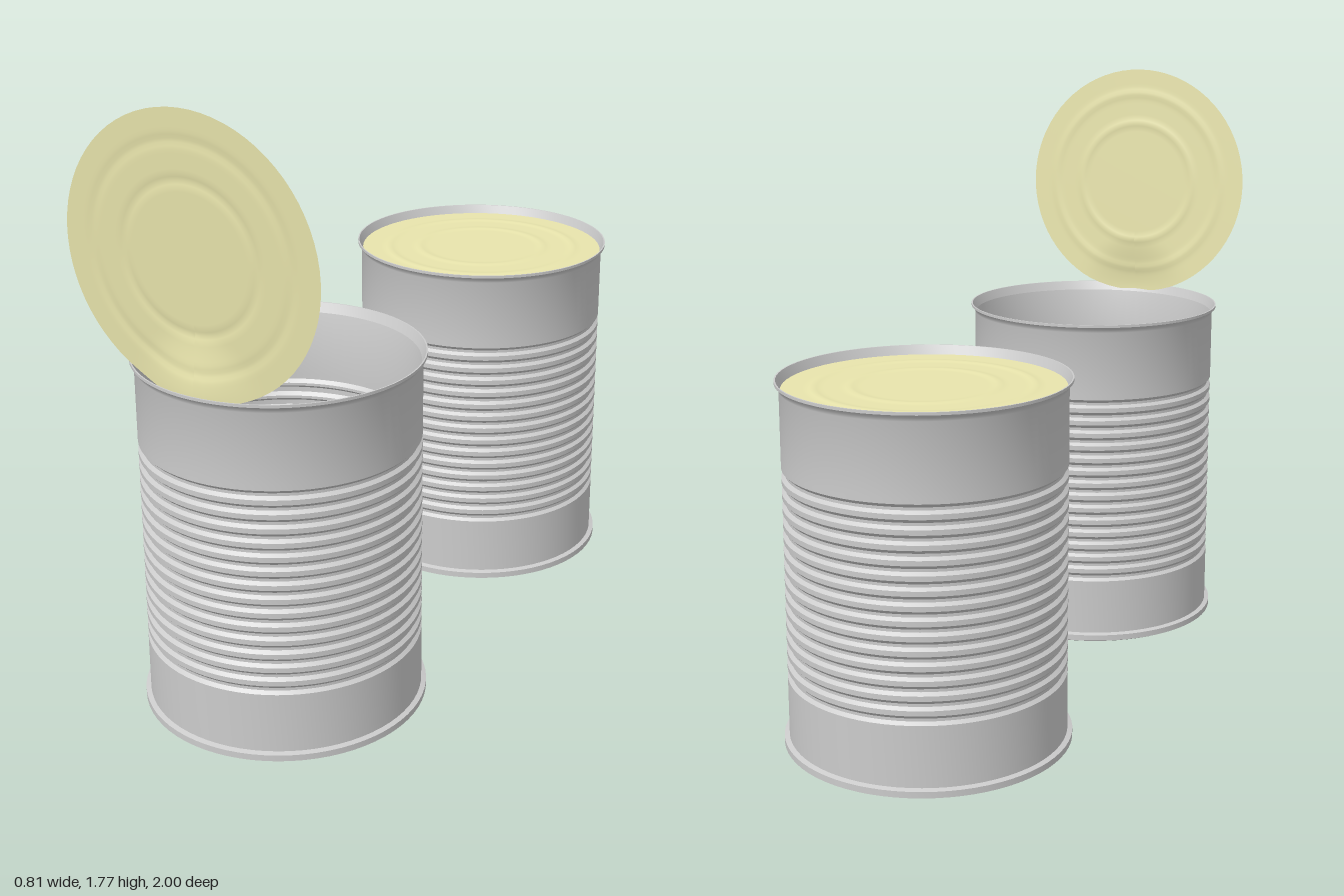
import * as THREE from 'three';
import { toCreasedNormals } from 'three/addons/utils/BufferGeometryUtils.js';

const SEGMENTS = 72;
const metal = new THREE.MeshStandardMaterial({ color: 0xcccccc, side: THREE.DoubleSide });
const lidMaterial = new THREE.MeshStandardMaterial({ color: 0xe8e4ac, side: THREE.DoubleSide });

function mesh(name, geometry, material) {
  const m = new THREE.Mesh(geometry, material);
  m.name = name;
  return m;
}

function lathe(points) {
  return new THREE.LatheGeometry(points.map(([r, y]) => new THREE.Vector2(r, y)), SEGMENTS);
}

// Thin wall: bottom flange, ribbed middle, flared top rim
function wallGeometry() {
  const profile = [[0.31, 0.004], [0.392, 0.004], [0.396, 0], [0.404, 0.004], [0.404, 0.022], [0.39, 0.026], [0.39, 0.2]];
  const ribs = 15, start = 0.2, pitch = 0.61 / ribs;
  for (let i = 0; i < ribs; i++) {
    const y = start + i * pitch;
    profile.push([0.38, y + pitch * 0.2], [0.38, y + pitch * 0.4], [0.39, y + pitch * 0.65], [0.39, y + pitch]);
  }
  profile.push([0.39, 1.01], [0.394, 1.02], [0.402, 1.028], [0.402, 1.036], [0.398, 1.036], [0.386, 1.008]);
  return toCreasedNormals(lathe(profile), 0.5);
}

// Disc with two shallow pressed rings
function lidGeometry(radius) {
  const profile = [];
  const bead = (r, centre) => 0.003 * Math.max(0, 1 - Math.abs(r - centre) / 0.018);
  const rings = 40;
  for (let i = 0; i <= rings; i++) {
    const r = radius * (1 - i / rings);
    profile.push([r, bead(r, 0.2) + bead(r, 0.3)]);
  }
  return lathe(profile);
}

function makeCan(name, z) {
  const can = new THREE.Group();
  can.name = name;
  can.position.z = z;
  can.add(mesh('canWall', wallGeometry(), metal));
  const base = mesh('canBase', new THREE.CircleGeometry(0.31, SEGMENTS).rotateX(-Math.PI / 2), lidMaterial);
  base.position.y = 0.006;
  can.add(base);
  return can;
}

// Raised lid: leans outwards, its lowest edge curled onto the rim
function openLidGeometry(radius) {
  const geometry = lidGeometry(radius);
  const p = geometry.attributes.position;
  for (let i = 0; i < p.count; i++) {
    const x = p.getX(i), v = -p.getZ(i), relief = p.getY(i);
    const t = Math.max(0, 1 - Math.hypot(x, v + radius) / 0.2);
    const curl = 0.027 * t * t * (3 - 2 * t);
    p.setXYZ(i, x, 1.392 + v, 0.383 + 0.0525 * v - relief + curl);
  }
  geometry.computeVertexNormals();
  return geometry;
}

export function createModel() {
  const model = new THREE.Group();
  model.name = 'twoCans';

  const closedCan = makeCan('closedCan', -0.596);
  const closedLid = mesh('closedLid', lidGeometry(0.386), lidMaterial);
  closedLid.position.y = 1.01;
  closedCan.add(closedLid);

  const openCan = makeCan('openCan', 0.596);
  openCan.add(mesh('openLid', openLidGeometry(0.381), lidMaterial));

  model.add(closedCan, openCan);
  return model;
}
